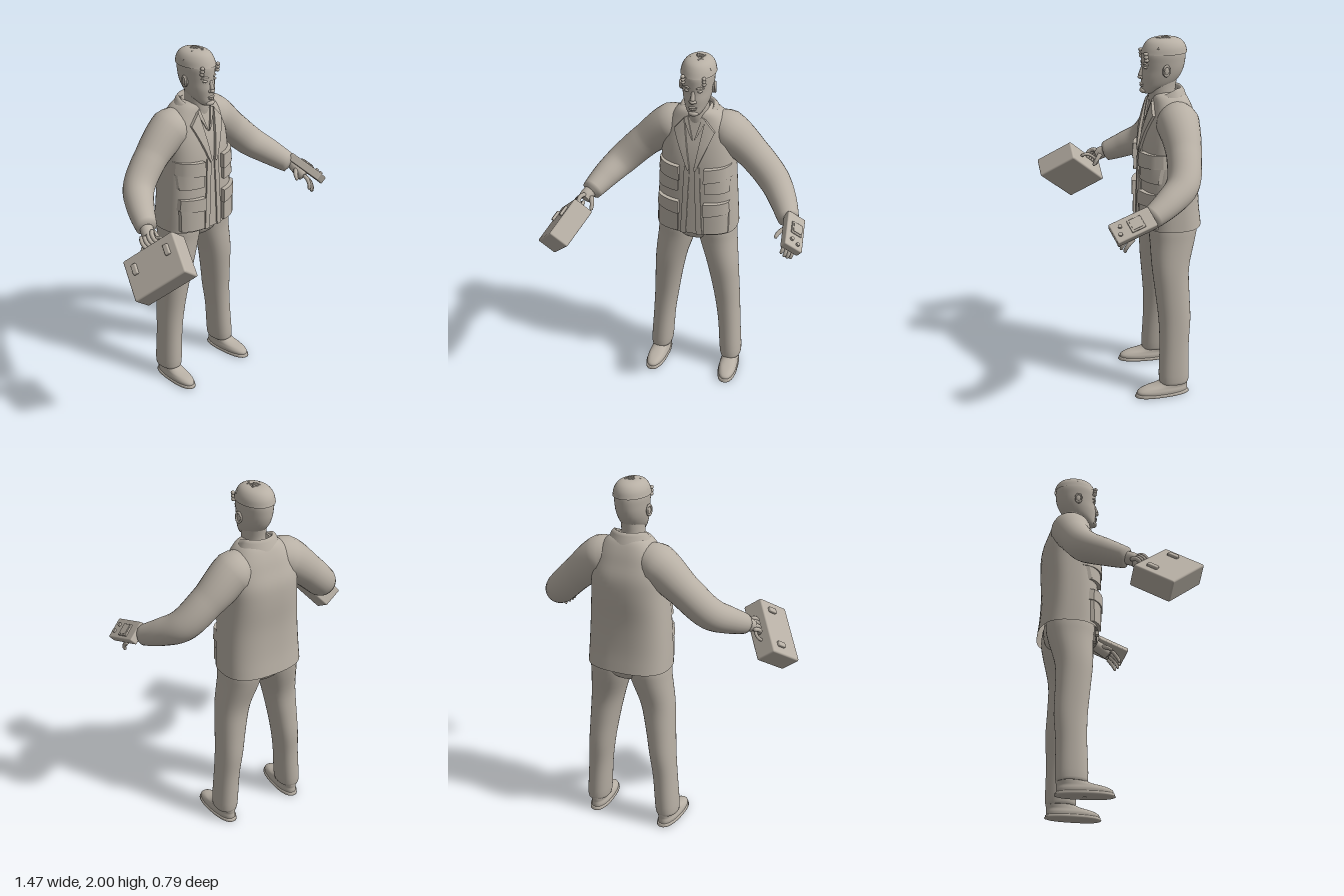
import * as THREE from 'three';
import { mergeVertices } from 'three/addons/utils/BufferGeometryUtils.js';
import { RoundedBoxGeometry } from 'three/addons/geometries/RoundedBoxGeometry.js';

const V = (x, y, z) => new THREE.Vector3(x, y, z);
const clay = new THREE.MeshStandardMaterial({ color: 0xb8b0a5, side: THREE.DoubleSide });
clay.name = 'warm grey clay';

function add(parent, name, geo, pos = [0, 0, 0], scale = [1, 1, 1]) {
  const m = new THREE.Mesh(geo, clay);
  m.name = name;
  m.position.set(...pos);
  m.scale.set(...scale);
  parent.add(m);
  return m;
}
function group(parent, name) {
  const g = new THREE.Group();
  g.name = name;
  parent.add(g);
  return g;
}
function smooth(geo) {
  geo.deleteAttribute('uv');
  geo.deleteAttribute('normal');
  const g = mergeVertices(geo, 1e-5);
  g.computeVertexNormals();
  return g;
}

// Skin over upright rings [y, x, z, rx, rz], listed from bottom to top
function loft(rings, p = 2, n = 32, sub = 4) {
  const size = new THREE.CatmullRomCurve3(rings.map(r => V(r[0], r[3], r[4])), false, 'catmullrom');
  const mid = new THREE.CatmullRomCurve3(rings.map(r => V(r[1], r[2], 0)), false, 'catmullrom');
  const rows = (rings.length - 1) * sub, pos = [], idx = [];
  const pw = c => Math.sign(c) * Math.abs(c) ** (2 / p);
  for (let i = 0; i <= rows; i++) {
    const s = size.getPoint(i / rows), m = mid.getPoint(i / rows);
    for (let j = 0; j < n; j++) {
      const a = (j / n) * Math.PI * 2;
      pos.push(m.x + s.y * pw(Math.cos(a)), s.x, m.y + s.z * pw(Math.sin(a)));
      const k = i * n + j, k1 = i * n + (j + 1) % n;
      if (i < rows) idx.push(k, k + n, k1, k1, k + n, k1 + n);
    }
  }
  const g = new THREE.BufferGeometry();
  g.setAttribute('position', new THREE.Float32BufferAttribute(pos, 3));
  g.setIndex(idx);
  g.computeVertexNormals();
  return g;
}

// Tube through points [x, y, z, radius], closed at both ends
function limb(pts, seg = 24, n = 16) {
  const all = [[...pts[0].slice(0, 3), 0], ...pts, [...pts.at(-1).slice(0, 3), 0]];
  const curve = new THREE.CatmullRomCurve3(pts.map(p => V(p[0], p[1], p[2])));
  const g = new THREE.TubeGeometry(curve, seg, 1, n), pos = g.attributes.position, v = V(0, 0, 0);
  for (let i = 0; i <= seg; i++) {
    const u = i / seg, c = curve.getPointAt(u), t = curve.getUtoTmapping(u) * (pts.length - 1);
    const k = Math.min(Math.floor(t), pts.length - 2);
    let r = THREE.MathUtils.lerp(pts[k][3], pts[k + 1][3], t - k);
    if (i === 0 || i === seg) r = all[0][3];
    for (let j = 0; j <= n; j++) {
      const q = i * (n + 1) + j;
      v.fromBufferAttribute(pos, q).sub(c).multiplyScalar(r).add(c);
      pos.setXYZ(q, v.x, v.y, v.z);
    }
  }
  return smooth(g);
}

// Jacket body and the height of its front surface
const JACKET = [
  [0.98, 0, -0.235, 0.23, 0.165], [1.1, 0, -0.228, 0.225, 0.158], [1.25, 0, -0.226, 0.216, 0.155],
  [1.4, 0, -0.232, 0.205, 0.157], [1.5, 0, -0.237, 0.2, 0.148], [1.58, 0, -0.235, 0.185, 0.126],
  [1.64, 0, -0.232, 0.155, 0.108], [1.69, 0, -0.225, 0.11, 0.088], [1.71, 0, -0.22, 0.06, 0.06],
];
function jacketFront(x, y) {
  let k = JACKET.findIndex(r => r[0] > y) - 1;
  if (k < 0) k = y < 1 ? 0 : JACKET.length - 2;
  const a = JACKET[k], b = JACKET[k + 1], t = THREE.MathUtils.clamp((y - a[0]) / (b[0] - a[0]), 0, 1);
  const mix = i => a[i] + (b[i] - a[i]) * t;
  const f = Math.min(1, Math.abs(x) / mix(3));
  return mix(2) + mix(4) * (1 - f ** 2.6) ** (1 / 2.6);
}
// Cloth panel laid on the jacket front; corners run bottom inner, bottom outer, top outer, top inner
function panel(parent, name, c, thick, side) {
  const q = side > 0 ? c : [c[1], c[0], c[3], c[2]];
  const g = new THREE.BoxGeometry(1, 1, 1, 8, 8, 1), p = g.attributes.position;
  for (let i = 0; i < p.count; i++) {
    const u = p.getX(i) + 0.5, v = p.getY(i) + 0.5;
    const f = k => (1 - v) * ((1 - u) * q[0][k] + u * q[1][k]) + v * ((1 - u) * q[3][k] + u * q[2][k]);
    const x = f(0) * side, y = f(1);
    p.setXYZ(i, x, y, jacketFront(x, y) + (p.getZ(i) > 0 ? thick : -0.012));
  }
  g.computeVertexNormals();
  add(parent, name, g);
}
const rect = (x0, x1, y0, y1) => [[x0, y0], [x1, y0], [x1, y1], [x0, y1]];

function buildHead(parent) {
  const head = group(parent, 'head'), ball = new THREE.SphereGeometry(1, 16, 12);
  add(head, 'neck', loft([[1.58, 0, -0.215, 0.075, 0.08], [1.66, 0, -0.195, 0.062, 0.074],
    [1.71, 0, -0.19, 0.06, 0.072], [1.77, 0, -0.19, 0.06, 0.08]]));
  const skull = [[1.697, -0.115, 0.004, 0.004], [1.702, -0.117, 0.028, 0.033], [1.72, -0.135, 0.045, 0.056],
    [1.75, -0.165, 0.063, 0.086], [1.79, -0.182, 0.075, 0.105], [1.83, -0.193, 0.082, 0.112],
    [1.87, -0.196, 0.086, 0.117], [1.91, -0.197, 0.088, 0.118], [1.945, -0.2, 0.08, 0.106],
    [1.972, -0.2, 0.062, 0.085], [1.986, -0.2, 0.035, 0.05], [1.988, -0.2, 0.002, 0.002]];
  add(head, 'skull', loft(skull.map(([y, z, a, b]) => [y, 0, z, a, b])));
  // Short hair: a close cap with a scatter of small curls
  add(head, 'hairCap', loft(skull.slice(7).map(([y, z, a, b]) => [y + 0.004, 0, z - 0.002, a + 0.007, b + 0.006])));
  let seed = 7;
  const rnd = () => (seed = (seed * 16807) % 2147483647) / 2147483647;
  const curl = new THREE.TorusGeometry(0.008, 0.004, 6, 10);
  for (let i = 0; i < 60; i++) {
    const a = rnd() * Math.PI * 2, e = 0.45 + rnd() * 1.1;
    const m = add(head, 'hairCurl', curl, [0.088 * Math.cos(e) * Math.cos(a), 1.905 + 0.085 * Math.sin(e),
      -0.2 + 0.115 * Math.cos(e) * Math.sin(a)]);
    m.rotation.set(rnd() * 3, rnd() * 3, 0);
  }
  // Face
  add(head, 'noseBridge', limb([[0, 1.845, -0.088, 0.009], [0, 1.815, -0.079, 0.011], [0, 1.79, -0.072, 0.014]], 10, 10));
  add(head, 'noseTip', ball, [0, 1.787, -0.073], [0.016, 0.011, 0.014]);
  add(head, 'upperLip', ball, [0, 1.751, -0.081], [0.024, 0.006, 0.011]);
  add(head, 'lowerLip', ball, [0, 1.741, -0.081], [0.02, 0.006, 0.011]);
  add(head, 'chin', ball, [0, 1.715, -0.09], [0.028, 0.016, 0.02]);
  for (const s of [-1, 1]) {
    add(head, 'eye', ball, [s * 0.034, 1.842, -0.093], [0.015, 0.007, 0.01]);
    add(head, 'brow', limb([[s * 0.014, 1.858, -0.084, 0.005], [s * 0.036, 1.864, -0.089, 0.006],
      [s * 0.056, 1.857, -0.104, 0.004]], 10, 8));
    add(head, 'nostril', ball, [s * 0.012, 1.785, -0.079], [0.009, 0.008, 0.01]);
    add(head, 'ear', ball, [s * 0.086, 1.83, -0.19], [0.01, 0.03, 0.02]);
    const rim = add(head, 'earRim', new THREE.TorusGeometry(0.022, 0.006, 8, 16), [s * 0.092, 1.833, -0.192], [0.8, 1.2, 1]);
    rim.rotation.y = Math.PI / 2 + s * 0.25;
    for (let i = 0; i < 3; i++)
      add(head, 'frontCurl', ball, [s * 0.057, 1.885 + i * 0.017, -0.092 + i * 0.002], [0.011, 0.01, 0.013]);
  }
}

function buildJacket(parent) {
  const jacket = group(parent, 'jacket');
  add(jacket, 'jacketBody', loft(JACKET, 2.6, 48));
  // Turned-down collar, lower at the front
  const profile = [[0.072, 1.67], [0.078, 1.722], [0.088, 1.732], [0.103, 1.715], [0.128, 1.655]];
  const collar = new THREE.LatheGeometry(profile.map(p => new THREE.Vector2(...p)), 40, 0.55, Math.PI * 2 - 1.1);
  const p = collar.attributes.position;
  for (let i = 0; i < p.count; i++) {
    const z = p.getZ(i) * 0.88;
    p.setXYZ(i, p.getX(i), p.getY(i) - Math.max(0, z + 0.03) * 0.45, z - 0.218);
  }
  collar.computeVertexNormals();
  add(jacket, 'collar', collar);
  for (const s of [-1, 1]) {
    panel(jacket, 'shirtCollar', [[0.004, 1.55], [0.014, 1.56], [0.062, 1.66], [0.04, 1.675]], 0.008, s);
    panel(jacket, 'lapel', [[0.012, 1.39], [0.022, 1.38], [0.112, 1.6], [0.058, 1.665]], 0.016, s);
    panel(jacket, 'frontEdge', [[0.03, 0.98], [0.062, 0.98], [0.042, 1.4], [0.012, 1.4]], 0.008, s);
    for (const [y0, y1, y2] of [[1.25, 1.325, 1.405], [0.995, 1.115, 1.19]]) {
      panel(jacket, 'pocket', rect(0.075, 0.2, y0, y1 + 0.04), 0.02, s);
      panel(jacket, 'pocketFlap', [[0.068, y1 - 0.008], [0.206, y1 + 0.008], [0.2, y2], [0.07, y2 - 0.005]], 0.028, s);
    }
    add(jacket, 'sleeve', limb([[s * 0.05, 1.58, -0.24, 0.08], [s * 0.15, 1.565, -0.24, 0.115],
      [s * 0.3, 1.447, -0.235, 0.092], [s * 0.43, 1.322, -0.195, 0.086], [s * 0.5, 1.26, -0.105, 0.074],
      [s * 0.55, 1.21, -0.01, 0.058], [s * 0.563, 1.197, 0.018, 0.052]], 36, 24));
  }
}

function buildLegs(parent) {
  add(parent, 'trouserSeat', loft([[0.895, 0, -0.23, 0.02, 0.05], [0.915, 0, -0.23, 0.1, 0.1],
    [0.95, 0, -0.23, 0.18, 0.125], [1.0, 0, -0.23, 0.205, 0.135], [1.06, 0, -0.23, 0.2, 0.13]]));
  for (const s of [-1, 1]) {
    const rings = [[0.085, 0.214, -0.225, 0.045, 0.06], [0.09, 0.214, -0.225, 0.062, 0.084], [0.3, 0.2, -0.228, 0.064, 0.082],
      [0.45, 0.186, -0.231, 0.07, 0.089], [0.6, 0.17, -0.221, 0.079, 0.094], [0.75, 0.15, -0.213, 0.091, 0.102],
      [0.9, 0.12, -0.228, 0.107, 0.123], [0.98, 0.112, -0.232, 0.11, 0.133], [1.06, 0.11, -0.232, 0.1, 0.125]];
    add(parent, 'trouserLeg', loft(rings.map(([y, x, ...r]) => [y, s * x, ...r]), 2.2));
    const shoe = group(parent, 'shoe');
    shoe.position.set(s * 0.214, 0, -0.225);
    shoe.rotation.y = s * 0.06;
    add(shoe, 'shoeUpper', loft([[0.015, 0, 0.068, 0.052, 0.146], [0.035, 0, 0.066, 0.053, 0.145], [0.052, 0, 0.05, 0.048, 0.128],
      [0.066, 0, 0.018, 0.046, 0.098], [0.085, 0, -0.002, 0.046, 0.078], [0.13, 0, -0.005, 0.045, 0.065]], 2.3));
    add(shoe, 'shoeSole', loft([[0, 0, 0.068, 0.002, 0.01], [0.001, 0, 0.068, 0.05, 0.145], [0.01, 0, 0.068, 0.057, 0.152],
      [0.02, 0, 0.068, 0.055, 0.15], [0.023, 0, 0.068, 0.04, 0.13]], 2.4, 32, 2));
  }
}

// Group whose local x and y point along the given directions
function framed(parent, name, pos, x, y) {
  const g = group(parent, name);
  x.normalize();
  const z = x.clone().cross(y).normalize();
  g.quaternion.setFromRotationMatrix(new THREE.Matrix4().makeBasis(x, z.clone().cross(x), z));
  g.position.set(...pos);
  return g;
}

function buildCase(root) {
  const g = framed(root, 'briefcase', [-0.583, 1.075, 0.197], V(0.16, 0.2, 0.205), V(0.08, 0.12, -0.19));
  add(g, 'caseBody', new RoundedBoxGeometry(0.328, 0.24, 0.118, 3, 0.01));
  for (const s of [-1, 1])
    add(g, 'latch', new RoundedBoxGeometry(0.03, 0.06, 0.024, 2, 0.006), [s * 0.105, 0.04, 0.062]);
  add(g, 'caseHandle', limb([[-0.07, 0.115, 0, 0.009], [-0.06, 0.155, 0, 0.009], [0, 0.165, 0, 0.009],
    [0.06, 0.155, 0, 0.009], [0.07, 0.115, 0, 0.009]], 20, 10));
  // Gripping hand
  const hand = group(g, 'rightHand');
  add(hand, 'palm', limb([[0, 0.25, 0, 0.035], [0, 0.22, 0.004, 0.036], [0, 0.19, 0.004, 0.034]]));
  for (let i = 0; i < 4; i++) {
    const x = (i - 1.5) * 0.023;
    add(hand, 'finger', limb([[x, 0.21, 0.014, 0.012], [x, 0.18, 0.03, 0.012], [x, 0.152, 0.024, 0.011],
      [x, 0.144, 0.002, 0.01], [x, 0.155, -0.014, 0.009]], 14, 10));
  }
  add(hand, 'thumb', limb([[0.02, 0.225, -0.015, 0.014], [0.022, 0.19, -0.045, 0.012], [0.012, 0.155, -0.065, 0.009]], 12, 10));
}

function buildDevice(root) {
  const g = framed(root, 'wristDevice', [0.66, 1.19, 0.1], V(0.75, -0.6, -0.3), V(0.66, 0.73, 0.18));
  add(g, 'deviceBody', new RoundedBoxGeometry(0.115, 0.045, 0.22, 3, 0.007));
  add(g, 'screenFrame', new RoundedBoxGeometry(0.07, 0.012, 0.075, 2, 0.004), [0.005, 0.024, -0.015]);
  add(g, 'screen', new THREE.BoxGeometry(0.052, 0.004, 0.055), [0.005, 0.031, -0.015]);
  for (const s of [-1, 1])
    add(g, 'button', new THREE.CylinderGeometry(0.01, 0.011, 0.014, 16), [s * 0.02, 0.026, 0.07 + s * 0.008]);
  // Open hand beneath the device
  const hand = group(g, 'leftHand');
  add(hand, 'palm', limb([[-0.005, -0.02, -0.1, 0.034], [0, -0.034, -0.04, 0.035], [0.008, -0.045, 0.015, 0.034]]));
  for (let i = 0; i < 4; i++) {
    const x = -0.022 + i * 0.021, d = Math.abs(i - 1.4) * 0.01;
    add(hand, 'finger', limb([[x, -0.042, 0.015, 0.012], [x + 0.01, -0.05, 0.06 - d, 0.011],
      [x + 0.02, -0.072, 0.09 - d, 0.01], [x + 0.026, -0.094, 0.1 - d, 0.008]], 14, 10));
  }
  add(hand, 'thumb', limb([[-0.02, -0.04, -0.045, 0.014], [-0.042, -0.07, -0.015, 0.012], [-0.048, -0.09, 0.015, 0.009]], 12, 10));
}

export function createModel() {
  const root = new THREE.Group();
  root.name = 'standingFigure';
  const body = group(root, 'body');
  body.position.x = 0.062;
  buildHead(body);
  buildJacket(body);
  buildLegs(body);
  buildCase(root);
  buildDevice(root);
  return root;
}
